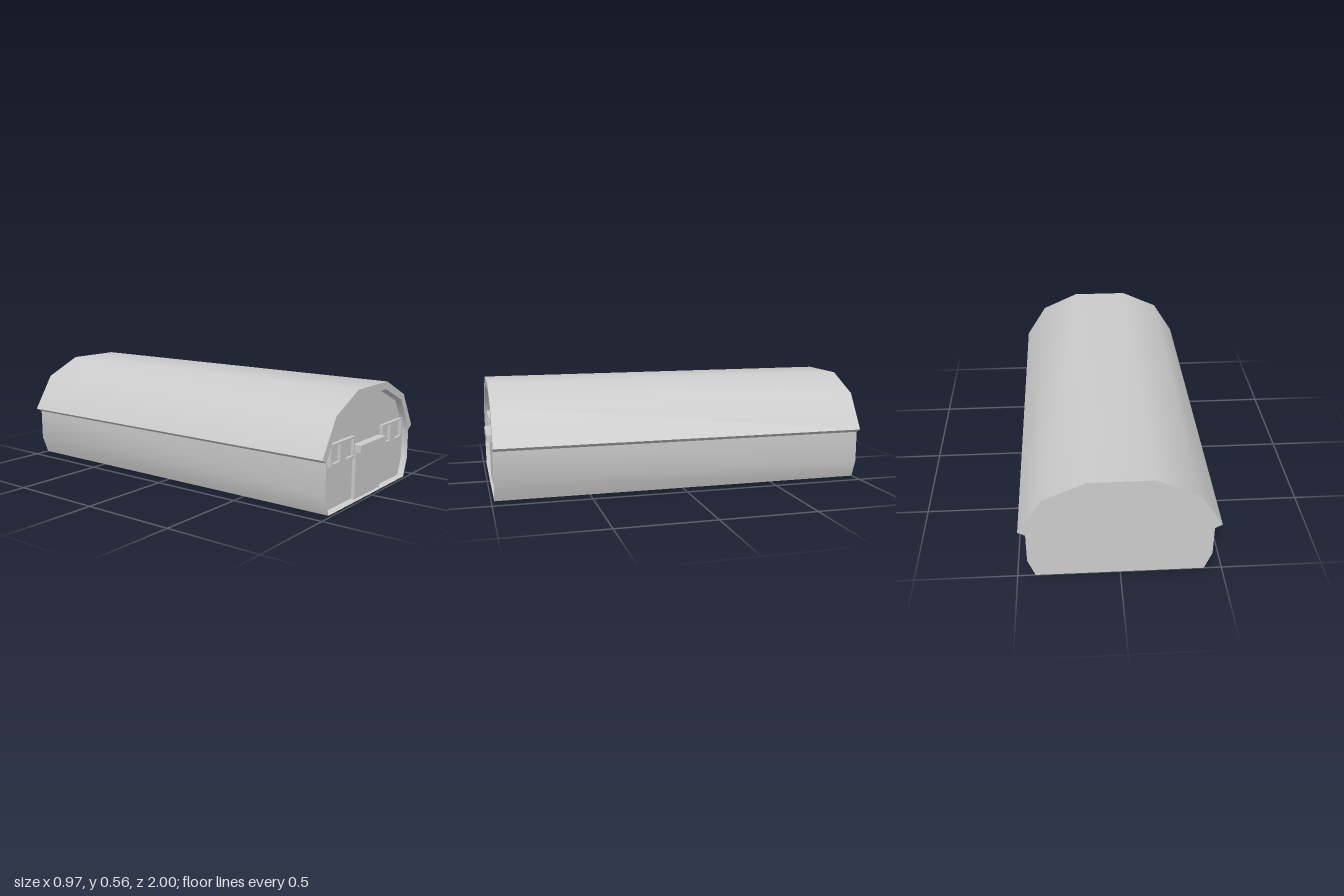
import * as THREE from 'three';
import { toCreasedNormals } from 'three/addons/utils/BufferGeometryUtils.js';

const BACK = -1, FRONT = 0.985, WALL = 0.955;

// Closes a right-hand half profile (bottom to top) into a counter-clockwise loop.
const mirrorLoop = (half) => [...half, ...half.map(([x, y]) => [-x, y]).reverse()];

const shapeOf = (points) => new THREE.Shape(points.map(([x, y]) => new THREE.Vector2(x, y)));

// Skins consecutive cross-sections, each { loop, z }.
function skin(sections) {
  const pos = [];
  for (let s = 0; s < sections.length - 1; s++) {
    const a = sections[s], b = sections[s + 1], n = a.loop.length;
    for (let i = 0; i < n; i++) {
      const j = (i + 1) % n;
      const A = [...a.loop[i], a.z], B = [...a.loop[j], a.z];
      const C = [...b.loop[j], b.z], D = [...b.loop[i], b.z];
      pos.push(...A, ...B, ...C, ...A, ...C, ...D);
    }
  }
  const geo = new THREE.BufferGeometry();
  geo.setAttribute('position', new THREE.Float32BufferAttribute(pos, 3));
  geo.computeVertexNormals();
  return toCreasedNormals(geo, THREE.MathUtils.degToRad(40));
}

function rect(Type, x0, y0, x1, y1) {
  const r = new Type();
  r.moveTo(x0, y0).lineTo(x1, y0).lineTo(x1, y1).lineTo(x0, y1).closePath();
  return r;
}

export function createModel() {
  const group = new THREE.Group();
  const grey = new THREE.MeshStandardMaterial({ color: 0xcccccc });
  const add = (name, geo, parent = group) => {
    const mesh = new THREE.Mesh(geo, grey);
    mesh.name = name;
    parent.add(mesh);
    return mesh;
  };

  // Cross-sections: outside with roof eaves, rim opening, recessed front wall
  const outer = mirrorLoop([[0.413, 0], [0.449, 0.097], [0.449, 0.26], [0.485, 0.28], [0.367, 0.467], [0.158, 0.562]]);
  const rim = mirrorLoop([[0.413, 0], [0.449, 0.097], [0.449, 0.26], [0.449, 0.26], [0.339, 0.439], [0.149, 0.523]]);
  const inner = mirrorLoop([[0.404, 0.008], [0.437, 0.1], [0.437, 0.26], [0.437, 0.26], [0.333, 0.433], [0.145, 0.514]]);

  // Long vaulted hull with the bevelled recess at the front
  add('hull', skin([
    { loop: outer, z: BACK }, { loop: outer, z: FRONT },
    { loop: rim, z: FRONT }, { loop: inner, z: WALL },
  ]));

  // End walls
  add('backWall', new THREE.ShapeGeometry(shapeOf(outer)).rotateY(Math.PI).translate(0, 0, BACK));
  const wallLoop = inner.filter((p, i) => i !== 3 && i !== 8);
  add('frontWall', new THREE.ShapeGeometry(shapeOf(wallLoop)).translate(0, 0, WALL));

  // Door and its projecting header
  const box = (name, w, y0, y1, z1) =>
    add(name, new THREE.BoxGeometry(w, y1 - y0, z1 - WALL)).position.set(0, (y0 + y1) / 2, (z1 + WALL) / 2);
  box('door', 0.274, 0.006, 0.247, 0.973);
  box('doorHeader', 0.274, 0.247, 0.284, 1);

  // Twin-pane windows on both sides of the door
  for (const side of [-1, 1]) {
    const window = new THREE.Group();
    window.name = side > 0 ? 'leftWindow' : 'rightWindow';
    const X = (a, b) => (side > 0 ? [a, b] : [-b, -a]);
    const [f0, f1] = X(0.153, 0.387);
    const frame = rect(THREE.Shape, f0, 0.225, f1, 0.333);
    for (const [a, b] of [X(0.164, 0.239), X(0.299, 0.374)]) {
      frame.holes.push(rect(THREE.Path, a, 0.237, b, 0.323));
      add('pane', new THREE.PlaneGeometry(b - a, 0.086), window).position.set((a + b) / 2, 0.28, WALL + 0.005);
    }
    add('windowFrame', new THREE.ExtrudeGeometry(frame, { depth: 0.02, bevelEnabled: false }), window)
      .position.z = WALL;
    group.add(window);
  }

  return group;
}
